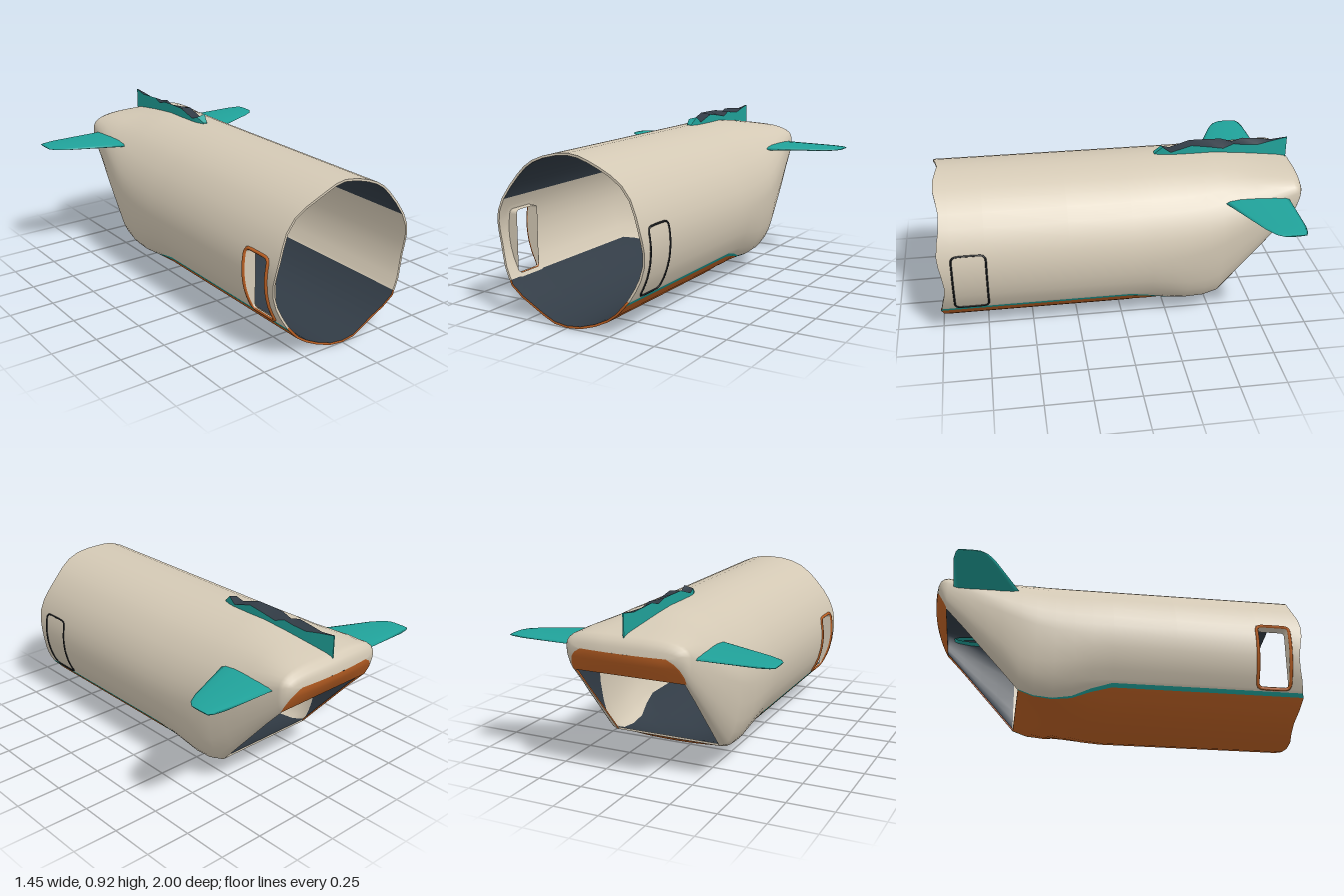
import * as THREE from 'three';

const mat = (name, color) => {
  const m = new THREE.MeshStandardMaterial({ color, side: THREE.DoubleSide });
  m.name = name;
  return m;
};

// Hull stations: z, bottom y, widest y, top y, half width, squareness of the lower half
const ROWS = [
  [0.98, 0.005, 0.435, 0.87, 0.435, 0], [0.92, 0.005, 0.435, 0.87, 0.435, 0],
  [0.74, 0.005, 0.435, 0.87, 0.435, 0], [0.3, 0.005, 0.435, 0.87, 0.435, 0],
  [-0.04, 0.005, 0.435, 0.87, 0.435, 0], [-0.15, 0.015, 0.436, 0.87, 0.435, 0.08],
  [-0.25, 0.035, 0.44, 0.87, 0.433, 0.3], [-0.35, 0.062, 0.45, 0.87, 0.43, 0.6],
  [-0.45, 0.1, 0.47, 0.87, 0.425, 0.85], [-0.53, 0.145, 0.5, 0.87, 0.418, 1],
  [-0.63, 0.26, 0.545, 0.86, 0.4, 1], [-0.73, 0.373, 0.59, 0.847, 0.38, 1],
  [-0.83, 0.487, 0.64, 0.832, 0.357, 1], [-0.93, 0.595, 0.695, 0.815, 0.338, 1],
  [-0.96, 0.635, 0.705, 0.806, 0.332, 1], [-0.985, 0.675, 0.72, 0.787, 0.315, 1],
  [-0.997, 0.702, 0.725, 0.757, 0.29, 1], [-1, 0.725, 0.725, 0.725, 0.25, 1],
];
const OPEN_START = 9, OPEN_END = 13; // rows of the ramp opening
const BELLY = 5, STRIPE = 6, DOOR_LOW = 8, DOOR_HIGH = 14, CEILING = 15; // column marks
const UPPER = [0.637, 0.72, 0.8, 0.9, 1, 1.085, 1.17, 1.27, 1.38, 1.5, 1.6, 1.7, 1.8, 1.9, 2];

// Column positions: 0 is the keel, 1 the widest point, 2 the crown
function columns(z) {
  const t = THREE.MathUtils.smoothstep(-z, 0.03, 0.3);
  const b = 0.578 - 0.098 * t, d = 0.036 - 0.014 * t;
  const low = [0, 1, 2, 3, 4, 5].map(i => (b * i) / 5);
  return [...low, b + d, (b + d + 0.637) / 2, ...UPPER];
}

function hullPoint([z, yb, yc, yt, w, s], u) {
  const q = Math.PI / 2;
  if (u > 1) {
    const p = 1 - 0.4 * THREE.MathUtils.smoothstep(-z, 0.55, 0.95);
    const f = (u - 1) * q;
    return [w * Math.max(0, Math.cos(f)) ** p, yc + (yt - yc) * Math.sin(f) ** p];
  }
  const flat = Math.min(0.3, w * 0.9);
  const f = Math.max(0, (u - 0.48) / 0.52) * q;
  const bx = u < 0.48 ? (flat * u) / 0.48 : flat + (w - flat) * Math.sin(f);
  const by = yc - (yc - yb) * Math.cos(f);
  const cx = w * Math.sin(u * q), cy = yc - (yc - yb) * Math.cos(u * q);
  return [cx + (bx - cx) * s, cy + (by - cy) * s];
}

// Closed rings of points, inset for the lining, with a torn front edge and a bowed tail
function hullRings(inset) {
  return ROWS.map((r, i) => {
    const [z, yb, yc, yt, w, s] = r;
    const k = Math.min(inset, (yt - yb) / 4);
    const row = [z, yb + k, yc, yt - k, w - k, s];
    const half = columns(z).map(u => {
      const [x, y] = hullPoint(row, u);
      const torn = i ? 0 : 0.013 * Math.sin(u * 11 + 1.2) + (u < 0.6 ? 0.008 : 0);
      const bow = i > OPEN_END ? 0.22 * x * x * (-z - 0.93) / 0.07 : 0;
      return new THREE.Vector3(x, y, z + torn + bow + (z < -0.95 ? k * 0.8 : 0));
    });
    const other = half.slice(1, -1).reverse().map(p => new THREE.Vector3(-p.x, p.y, p.z));
    return [...half, ...other];
  });
}

// Skin through rings; pick(i, column, mirrored) gives a material index or -1 for a gap
function skin(rings, pick, materials, flip) {
  const n = rings[0].length, half = n / 2;
  const lists = materials.map(() => []);
  for (let i = 0; i < rings.length - 1; i++) for (let j = 0; j < n; j++) {
    const mirrored = j >= half;
    const m = pick(i, mirrored ? n - 1 - j : j, mirrored);
    if (m < 0) continue;
    const a = i * n + j, b = i * n + (j + 1) % n, c = a + n, d = b + n;
    lists[m].push(...(flip ? [a, b, c, b, d, c] : [a, c, b, b, c, d]));
  }
  const g = new THREE.BufferGeometry().setFromPoints(rings.flat());
  g.setIndex(lists.flat());
  let start = 0;
  lists.forEach((l, m) => { g.addGroup(start, l.length, m); start += l.length; });
  g.computeVertexNormals();
  return new THREE.Mesh(g, materials);
}

// Ribbon between two lines of points
function ribbon(a, b, material) {
  const g = new THREE.BufferGeometry().setFromPoints([...a, ...b]);
  const n = a.length, idx = [];
  for (let i = 0; i < n - 1; i++) idx.push(i, i + 1, n + i, i + 1, n + i + 1, n + i);
  g.setIndex(idx);
  g.computeVertexNormals();
  return new THREE.Mesh(g, material);
}

// Rounded door outline on a cylinder of the given radius, shrunk by a margin
function doorLoop(side, r, margin = 0, radius = 0.435) {
  const z0 = 0.74 + margin, z1 = 0.92 - margin, y0 = 0.203 + margin, y1 = 0.548 - margin;
  const pts = [];
  const corners = [[z1 - r, y1 - r], [z0 + r, y1 - r], [z0 + r, y0 + r], [z1 - r, y0 + r]];
  corners.forEach(([z, y], c) => {
    for (let k = 0; k <= 4; k++) {
      const a = (c + k / 4) * Math.PI / 2;
      pts.push([z + r * Math.cos(a), y + r * Math.sin(a)]);
    }
    if (c % 2) for (let k = 1; k < 5; k++) { // follow the curve of the wall
      const from = c === 1 ? y1 - r : y0 + r, to = c === 1 ? y0 + r : y1 - r;
      pts.push([c === 1 ? z0 : z1, from + (to - from) * k / 5]);
    }
  });
  return pts.map(([z, y]) => new THREE.Vector3(side * Math.sqrt(radius ** 2 - (y - 0.435) ** 2), y, z));
}

export function createModel() {
  const model = new THREE.Group();
  const cream = mat('cream paint', 0xd4c9b5), orange = mat('orange paint', 0xbd6124);
  const teal = mat('teal paint', 0x20a29a), dark = mat('dark lining', 0x323c46);
  const black = mat('black seam', 0x1d2023);
  const add = (mesh, name) => { mesh.name = name; model.add(mesh); };

  // Outer shell and inner lining
  const gap = (i, c, mirrored) => (c < BELLY && i >= OPEN_START && i < OPEN_END)
    || (mirrored && i === 1 && c >= DOOR_LOW && c < DOOR_HIGH);
  const paint = (i, c) => {
    if (i >= OPEN_END) return c <= STRIPE ? 1 : 0;
    return c < BELLY ? 1 : c < STRIPE && i < OPEN_START ? 2 : 0;
  };
  const outer = hullRings(0), inner = hullRings(0.012);
  add(skin(outer, (i, c, m) => gap(i, c, m) ? -1 : paint(i, c), [cream, orange, teal]), 'fuselageShell');
  add(skin(inner, (i, c, m) => gap(i, c, m) ? -1 : c < STRIPE || c >= CEILING || i >= OPEN_START ? 1 : 0,
    [cream, dark], true), 'cabinLining');

  // Torn front rim
  const n = outer[0].length, last = n - STRIPE;
  add(ribbon(outer[0].slice(STRIPE, last + 1), inner[0].slice(STRIPE, last + 1), cream), 'upperFrontRim');
  const under = ring => [...ring.slice(last), ...ring.slice(0, STRIPE + 1)];
  add(ribbon(under(outer[0]), under(inner[0]), orange), 'lowerFrontRim');

  // Edge of the ramp opening
  for (const j of [BELLY, n - BELLY]) {
    const edge = rings => rings.slice(OPEN_START, OPEN_END + 1).map(r => r[j]);
    add(ribbon(edge(outer), edge(inner), orange), 'openingSideEdge');
  }
  const cross = r => [...r.slice(n - BELLY), ...r.slice(0, BELLY + 1)];
  add(ribbon(cross(outer[OPEN_START]), cross(inner[OPEN_START]), cream), 'openingLip');
  add(ribbon(cross(outer[OPEN_END]), cross(inner[OPEN_END]), dark), 'openingTopEdge');

  // Closed door on the left, open doorway on the right
  const tube = (pts, r, m) => new THREE.Mesh(
    new THREE.TubeGeometry(new THREE.CatmullRomCurve3(pts, true, 'centripetal'), 96, r, 6, true), m);
  const closed = pts => [...pts, pts[0]];
  add(tube(doorLoop(1, 0.025), 0.005, black), 'doorSeam');
  add(tube(doorLoop(-1, 0.025), 0.009, orange), 'doorwayFrame');
  const jamb = closed(doorLoop(-1, 0.02, 0.008));
  add(ribbon(jamb, jamb.map(p => new THREE.Vector3(Math.max(p.x, -0.366), p.y, p.z)), cream), 'doorwayJamb');
  add(ribbon(closed(doorLoop(-1, 0.02, 0.008, 0.421)), closed(doorLoop(-1, 0.02, -0.01, 0.421)), cream),
    'doorwayInnerTrim');

  // Tailplanes: x, leading z, trailing z, half thickness
  const FIN = [[0.29, -0.53, -0.9, 0.017], [0.36, -0.555, -0.898, 0.016], [0.64, -0.682, -0.894, 0.011],
    [0.7, -0.72, -0.884, 0.008], [0.725, -0.755, -0.872, 0.004]];
  for (const side of [1, -1]) {
    const rings = FIN.map(([x, z0, z1, t]) => Array.from({ length: 12 }, (_, k) => {
      const a = k / 12 * Math.PI * 2;
      return new THREE.Vector3(side * x, 0.71 + t * Math.sin(a), (z0 + z1) / 2 + (z0 - z1) / 2 * Math.cos(a));
    }));
    const centre = new THREE.Vector3(side * 0.726, 0.71, -0.814);
    rings.push(rings[4].map(() => centre.clone()));
    add(skin(rings, () => 0, [teal], side > 0), side > 0 ? 'leftTailplane' : 'rightTailplane');
  }

  // Broken fin root: z, half width, left top y, right top y
  const STUMP = [[-0.215, 0.012, 0.87, 0.875], [-0.26, 0.026, 0.913, 0.9], [-0.305, 0.03, 0.88, 0.885],
    [-0.42, 0.032, 0.915, 0.92], [-0.52, 0.031, 0.9, 0.92], [-0.6, 0.029, 0.885, 0.918],
    [-0.66, 0.026, 0.908, 0.9], [-0.72, 0.023, 0.897, 0.918], [-0.8, 0.018, 0.89, 0.912],
    [-0.88, 0.011, 0.905, 0.905], [-0.97, 0.003, 0.918, 0.918]];
  const line = f => STUMP.map(([z, w, l, r]) => {
    const [x, y] = f(w, l, r);
    return new THREE.Vector3(x, y, z);
  });
  const leftTop = line((w, l) => [w, l]), rightTop = line((w, l, r) => [-w, r]);
  const leftFoot = line(w => [w, 0.795]), rightFoot = line(w => [-w, 0.795]);
  add(ribbon(leftFoot, leftTop, teal), 'finRootLeft');
  add(ribbon(rightTop, rightFoot, teal), 'finRootRight');
  add(ribbon(leftTop.slice(0, 2), rightTop.slice(0, 2), teal), 'finRootNose');
  add(ribbon(leftTop.slice(1), rightTop.slice(1), dark), 'finRootBreak');
  for (const i of [0, STUMP.length - 1])
    add(ribbon([leftFoot[i], leftTop[i]], [rightFoot[i], rightTop[i]], teal), 'finRootEnd');

  return model;
}
